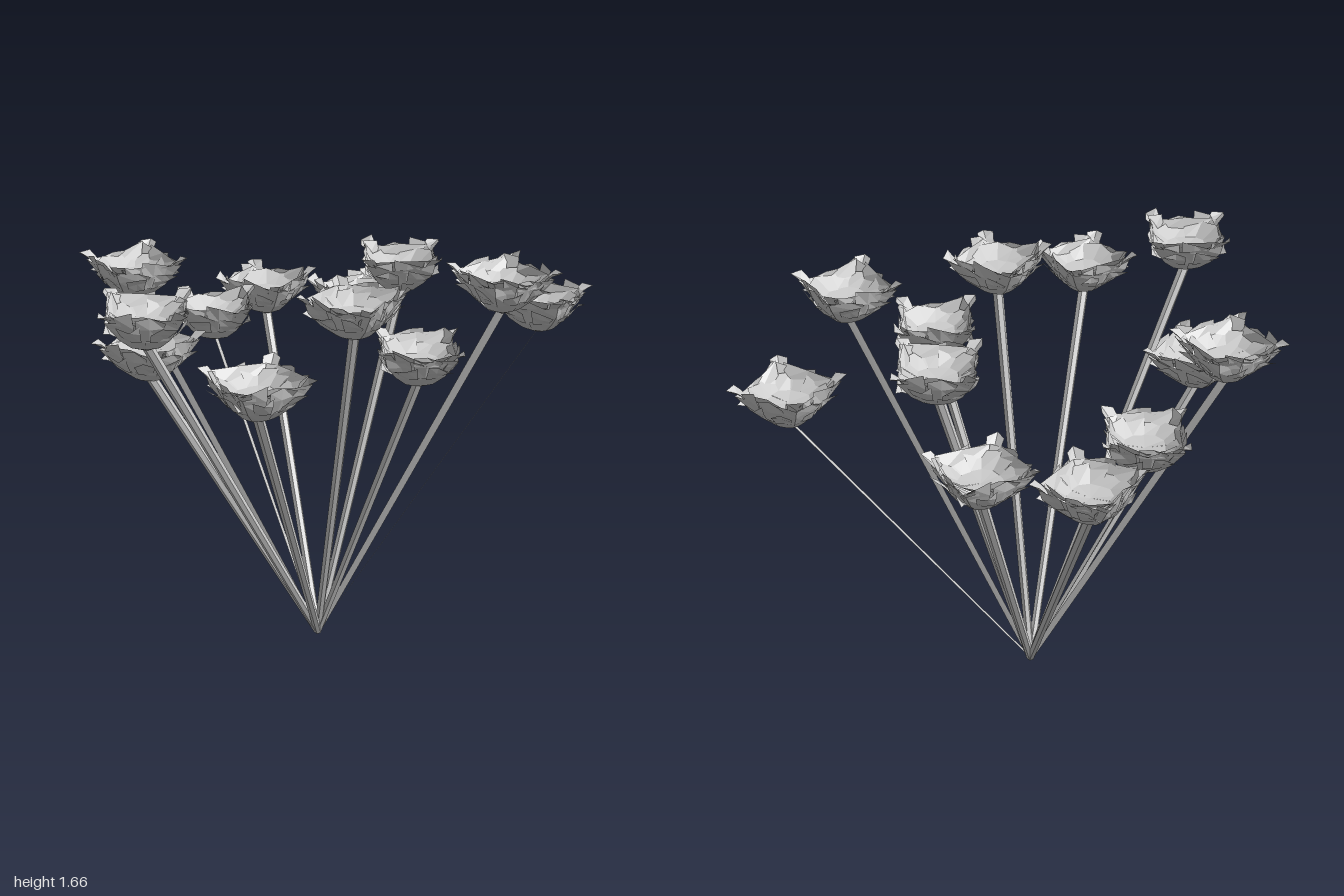
import * as THREE from 'three';
import { mergeGeometries } from 'three/addons/utils/BufferGeometryUtils.js';

const material = new THREE.MeshStandardMaterial({ color: 0xcccccc, flatShading: true, side: THREE.DoubleSide });

// Seeded noise in -1..1 for the ragged petal edges
let seed = 7;
const noise = () => {
  seed = (seed * 16807) % 2147483647;
  return (seed / 2147483647) * 2 - 1;
};

// Curved petal: profile rows are [radius, height]; the outline is a diamond with corners on the axes.
// The outer edge is torn by ragged, raised by tip in the middle and skewed to one side.
function petal({ profile, spread, across, ragged = 0, tip = 0, skew = 0 }, angle) {
  const rows = profile.length - 1;
  const geo = new THREE.PlaneGeometry(1, 1, across, rows);
  const pos = geo.attributes.position;
  const tilt = noise() * skew;
  for (let i = 0; i <= rows; i++) {
    const v = i / rows;
    for (let j = 0; j <= across; j++) {
      const s = (j / across) * 2 - 1;
      const a = angle + s * spread;
      const diamond = 1 / (Math.abs(Math.cos(a)) + Math.abs(Math.sin(a)));
      const shape = THREE.MathUtils.lerp(0.85, diamond, Math.min(1, v * 1.3));
      const tear = ragged * v * v;
      const r = profile[i][0] * shape + noise() * tear * 0.6;
      const y = profile[i][1] + noise() * tear + v * v * (tilt * s + tip * (1 - Math.abs(s)));
      pos.setXYZ(i * (across + 1) + j, Math.cos(a) * r, y, -Math.sin(a) * r);
    }
  }
  return geo;
}

// Bloom: a cup of four broad petals, a shallow centre and rings of smaller curled petals round the rim
function bloomGeometry() {
  const rings = [
    // outer cup
    { count: 4, turn: 0, spread: 0.82, across: 4, ragged: 0.012, tip: 0.015, skew: 0.01,
      profile: [[0.02, -0.105], [0.08, -0.085], [0.135, -0.045], [0.175, 0.005], [0.195, 0.025]] },
    // shallow centre
    { count: 4, turn: 0, spread: 0.8, across: 3, ragged: 0.01,
      profile: [[0, -0.015], [0.1, -0.005], [0.18, 0.035]] },
    // inner petals lying over the centre
    { count: 4, turn: 0.5, spread: 0.7, across: 2, ragged: 0.015, skew: 0.02,
      profile: [[0.1, -0.01], [0.15, 0.015], [0.19, 0.05]] },
    // rim petals
    { count: 8, turn: 0.2, spread: 0.36, across: 2, ragged: 0.018, tip: 0.012, skew: 0.022,
      profile: [[0.13, -0.04], [0.175, 0.01], [0.2, 0.05]] },
    // petals folded outward below the rim
    { count: 8, turn: 0.55, spread: 0.26, across: 2, ragged: 0.015, skew: 0.02,
      profile: [[0.13, -0.045], [0.175, -0.012], [0.205, 0.012]] },
    // corner tips
    { count: 4, turn: 0, spread: 0.17, across: 2, ragged: 0.008, skew: 0.012,
      profile: [[0.165, 0.005], [0.195, 0.045], [0.222, 0.068]] },
  ];
  const parts = [];
  for (const ring of rings) {
    const step = (Math.PI * 2) / ring.count;
    for (let k = 0; k < ring.count; k++) parts.push(petal(ring, (k + ring.turn) * step));
  }
  const geo = mergeGeometries(parts).toNonIndexed();
  geo.computeVertexNormals();
  return geo;
}

// Tapered stem from a to b; a flat stem is a ribbon spread along the axis across
function stem(a, b, flat, across, width) {
  const dir = b.clone().sub(a);
  const length = dir.length();
  dir.normalize();
  const side = across.clone().addScaledVector(dir, -across.dot(dir)).normalize();
  const depth = new THREE.Vector3().crossVectors(side, dir);
  const mesh = new THREE.Mesh(new THREE.CylinderGeometry(0.021, 0.016, length, 6), material);
  mesh.quaternion.setFromRotationMatrix(new THREE.Matrix4().makeBasis(side, dir, depth));
  mesh.position.copy(a).lerp(b, 0.5);
  mesh.scale.set(width, 1, flat ? 0.02 : 1);
  mesh.name = 'stem';
  return mesh;
}

export function createModel() {
  seed = 7;
  const model = new THREE.Group();
  model.name = 'bouquet';
  const root = new THREE.Vector3(-0.01, 0.012, -0.1);
  const bloom = bloomGeometry();
  const X = new THREE.Vector3(1, 0, 0), Z = new THREE.Vector3(0, 0, 1);

  // Bloom centres x, y, z, then the ribbon direction and width for flattened stems
  const flowers = [
    [-0.41, 1.245, -0.79],
    [-0.01, 1.24, -0.78],
    [0.23, 1.48, -0.50],
    [0.79, 1.34, -0.56, Z, 0.4],
    [-0.52, 1.25, -0.40, Z, 0.9],
    [-0.76, 1.50, -0.10, X, 0.85],
    [0.71, 1.56, -0.10, X, 0.85],
    [-0.59, 1.285, 0.23],
    [0.44, 1.33, 0.15],
    [0.23, 1.55, 0.31],
    [-0.45, 1.575, 0.67],
    [-0.01, 1.38, 0.77],
  ];
  for (const [x, y, z, ribbon, width = 1] of flowers) {
    const flower = new THREE.Group();
    flower.name = 'flower';
    const head = new THREE.Mesh(bloom, material);
    head.name = 'bloom';
    head.position.set(x, y, z);
    // A corner of every bloom points away from the root
    head.rotation.y = Math.atan2(-(z - root.z), x - root.x);
    flower.add(head, stem(root, new THREE.Vector3(x, y - 0.09, z), !!ribbon, ribbon ?? X, width));
    model.add(flower);
  }
  return model;
}
